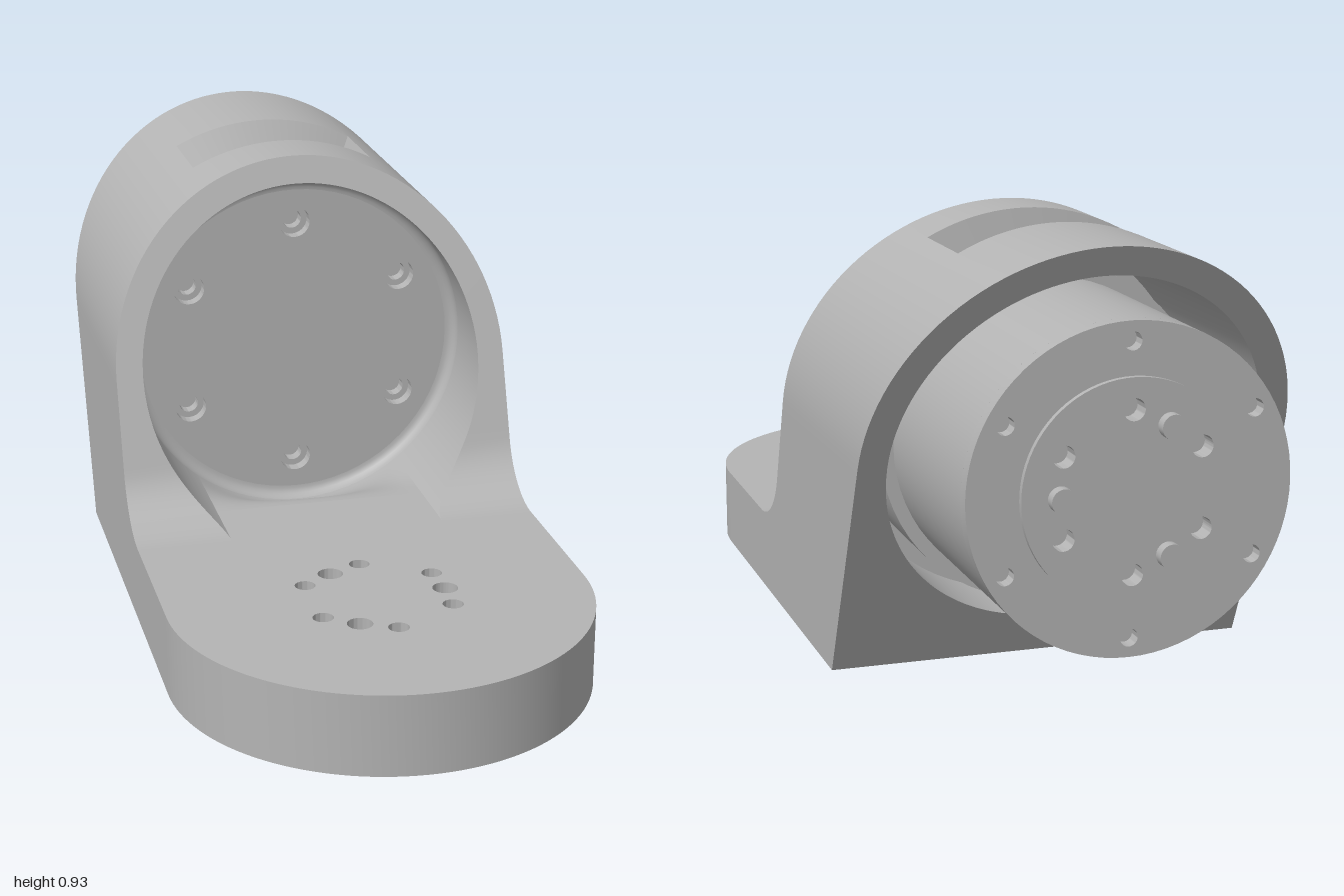
import * as THREE from 'three';
import { mergeGeometries, toCreasedNormals } from 'three/addons/utils/BufferGeometryUtils.js';

const CY = 0.482, OUTER = 0.45, BORE = 0.39, FLOOR = 0.175, FLOOR_BACK = 0.03;
const RAD = Math.PI / 180;
const A0 = Math.asin((FLOOR - CY) / BORE) / RAD; // bore angle where it meets the floor

// Front outline of the housing: fillet out of the floor, then a steep straight slope
const FILLET = 0.178;
function frontZ(y) {
  const h = Math.max(0, y - FLOOR);
  if (h < 0.117) return 0.2 - Math.sqrt(FILLET ** 2 - (FILLET - h) ** 2);
  return 0.033 - (y - 0.292) * 0.365;
}
const backZ = (y) => -0.44 - 0.4624 * y;

// Outer and inner points of the arch at an angle in degrees
function archPair(deg) {
  const c = Math.cos(deg * RAD), s = Math.sin(deg * RAD);
  const inner = [BORE * c, CY + BORE * s];
  const outer = s >= 0 ? [OUTER * c, CY + OUTER * s] : [Math.sign(c) * OUTER, inner[1]];
  return [outer, inner];
}

// Solid band swept through outer/inner pairs between a front and a back z rule
function band(pairs, front, back) {
  const sections = pairs.map(([o, i]) => [
    [...o, front(o[1], true)], [...o, back(o[1], true)],
    [...i, back(i[1], false)], [...i, front(i[1], false)],
  ]);
  const pos = [];
  const quad = (a, b, c, d) => pos.push(...a, ...b, ...c, ...a, ...c, ...d);
  for (let n = 0; n < sections.length - 1; n++) {
    const s = sections[n], t = sections[n + 1];
    for (let k = 0; k < 4; k++) quad(s[k], s[(k + 1) % 4], t[(k + 1) % 4], t[k]);
  }
  const first = sections[0], last = sections[sections.length - 1];
  quad(first[3], first[2], first[1], first[0]);
  quad(...last);
  const g = new THREE.BufferGeometry();
  g.setAttribute('position', new THREE.Float32BufferAttribute(pos, 3));
  return g;
}

const steps = (n, f) => Array.from({ length: n + 1 }, (_, i) => f(i / n));
const lerp = THREE.MathUtils.lerp;

function housingGeometry() {
  const slot = 62;
  const low = steps(24, (t) => A0 * (1 - t * t));
  const side = [...low, ...steps(20, (t) => slot * t).slice(1)];
  const right = side.map(archPair);
  const left = side.map((a) => archPair(180 - a)).reverse();
  const top = steps(20, (t) => archPair(lerp(slot, 180 - slot, t)));
  // Lower part around the bottom of the bore, with square outer corners
  const corner = -70;
  const lowerR = steps(5, (t) => [[OUTER, FLOOR * t], archPair(lerp(corner, A0, t))[1]]);
  const lowerL = lowerR.map(([o, i]) => [[-o[0], o[1]], [-i[0], i[1]]]).reverse();
  const bottom = steps(14, (t) => [[lerp(-OUTER, OUTER, t), 0], archPair(lerp(-180 - corner, corner, t))[1]]);
  const lower = [...lowerL, ...bottom.slice(1, -1), ...lowerR];
  return toCreasedNormals(mergeGeometries([
    band(right, frontZ, backZ),
    band(left, frontZ, backZ),
    band(top, frontZ, (y, out) => (out ? -0.345 : -0.355)),
    band(top, (y, out) => (out ? -0.555 : -0.525), backZ),
    band(lower, () => FLOOR_BACK, backZ),
  ]), 0.6);
}

// n hole or pin positions on a circle
const ring = (n, r, start, size) => Array.from({ length: n }, (_, i) => {
  const a = (start + (i * 360) / n) * RAD;
  return { x: r * Math.cos(a), y: r * Math.sin(a), r: size };
});

function drill(shape, holes, dy = 0) {
  for (const h of holes) {
    const p = new THREE.Path();
    p.absarc(h.x, h.y + dy, h.r, 0, Math.PI * 2, true);
    shape.holes.push(p);
  }
  return shape;
}

function extrude(shape, depth, curveSegments) {
  const g = new THREE.ExtrudeGeometry(shape, { depth, bevelEnabled: false, curveSegments });
  return toCreasedNormals(g, 0.6);
}

// Round plate facing along z, from zBack to zFront
function roundPlate(radius, zBack, zFront, holes) {
  const s = new THREE.Shape();
  s.absarc(0, 0, radius, 0, Math.PI * 2, false);
  return extrude(drill(s, holes), zFront - zBack, 40).translate(0, 0, zBack);
}

function rod(radius, zBack, zFront, segments = 64) {
  return new THREE.CylinderGeometry(radius, radius, zFront - zBack, segments)
    .rotateX(Math.PI / 2).translate(0, 0, (zBack + zFront) / 2);
}

export function createModel() {
  const grey = new THREE.MeshStandardMaterial({ color: 0xb4b4b4 });
  grey.name = 'grey';
  const model = new THREE.Group();
  model.name = 'motorBracket';
  const add = (parent, name, geometry) => {
    const m = new THREE.Mesh(geometry, grey);
    m.name = name;
    parent.add(m);
    return m;
  };

  // Arched housing with the window slot on top
  add(model, 'housing', housingGeometry());

  // Foot with a rounded end and a bolt circle
  const foot = new THREE.Shape();
  foot.moveTo(OUTER, FLOOR_BACK);
  foot.lineTo(OUTER, 0.55);
  foot.absarc(0, 0.55, OUTER, 0, Math.PI, false);
  foot.lineTo(-OUTER, FLOOR_BACK);
  drill(foot, [...ring(6, 0.16, 90, 0.022), ...ring(3, 0.145, 0, 0.027)], 0.545);
  add(model, 'foot', extrude(foot, FLOOR, 32).rotateX(Math.PI / 2).translate(0, FLOOR, 0));

  // Floor easing down from the foot into the bore
  const half = BORE * Math.cos(A0 * RAD), run = 0.23;
  const ramp = new THREE.PlaneGeometry(half * 2, run, 24, 12).rotateX(-Math.PI / 2).translate(0, 0, FLOOR_BACK - run / 2);
  const p = ramp.attributes.position;
  for (let i = 0; i < p.count; i++) {
    const u = THREE.MathUtils.smoothstep((FLOOR_BACK - p.getZ(i)) / run, 0, 1);
    const boreY = CY - Math.sqrt(BORE ** 2 - p.getX(i) ** 2);
    p.setY(i, lerp(FLOOR, boreY, u));
  }
  ramp.computeVertexNormals();
  add(model, 'boreRamp', ramp);

  // Mounting wall inside the bore, with counterbored screw holes
  const wall = new THREE.Group();
  wall.name = 'mountingWall';
  wall.position.y = CY;
  model.add(wall);
  add(wall, 'wallFront', roundPlate(BORE, -0.25, -0.22, ring(6, 0.288, 90, 0.036)));
  add(wall, 'wallBack', roundPlate(BORE, -0.28, -0.25, ring(6, 0.288, 90, 0.022)));
  const arc = steps(6, (t) => new THREE.Vector2(
    0.365 + 0.025 * Math.cos(t * Math.PI / 2), -0.195 - 0.025 * Math.sin(t * Math.PI / 2)));
  add(wall, 'wallFillet', new THREE.LatheGeometry(arc, 72).rotateX(Math.PI / 2));

  // Motor behind the wall
  const motor = new THREE.Group();
  motor.name = 'motor';
  motor.position.y = CY;
  model.add(motor);
  add(motor, 'motorFlange', rod(0.355, -0.485, -0.28));
  add(motor, 'motorBarrel', rod(0.327, -0.935, -0.485));
  add(motor, 'motorEndRing', roundPlate(0.327, -0.965, -0.935, [
    ...ring(6, 0.288, 90, 0.018), ...ring(6, 0.16, 90, 0.022)]));
  add(motor, 'outputDisc', roundPlate(0.222, -0.977, -0.965, ring(6, 0.16, 90, 0.022)));
  for (const pin of ring(3, 0.145, 0, 0.025)) {
    add(motor, 'outputPin', rod(pin.r, -1, -0.96, 24)).position.set(pin.x, pin.y, 0);
  }
  return model;
}
